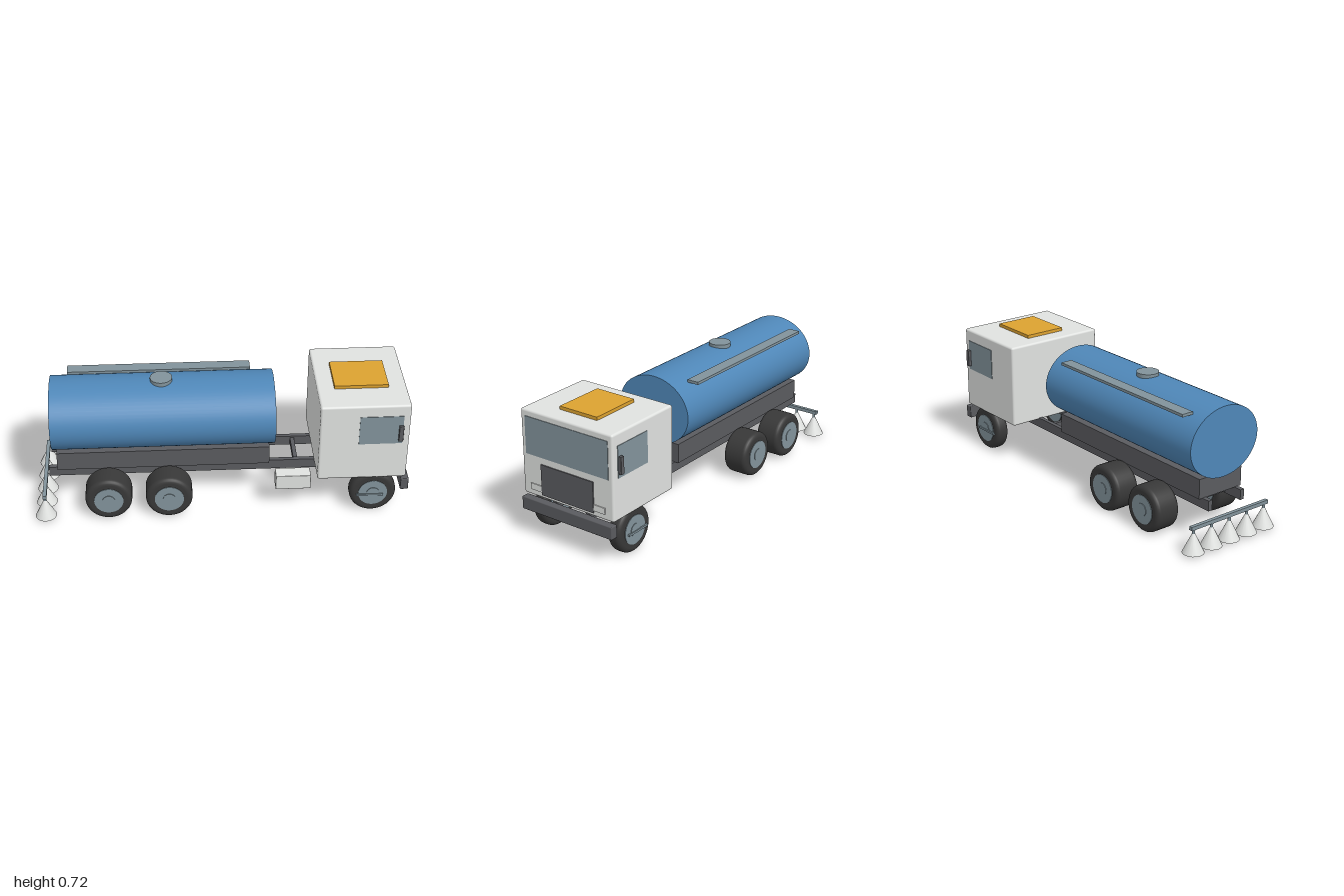
import * as THREE from 'three';
import { RoundedBoxGeometry } from 'three/addons/geometries/RoundedBoxGeometry.js';

const mat = (name, color) => {
  const m = new THREE.MeshStandardMaterial({ color });
  m.name = name;
  return m;
};

export function createModel() {
  const paint = mat('white paint', 0xe0e2e0);
  const blue = mat('tank blue', 0x4f87b8);
  const dark = mat('chassis grey', 0x5a5b5f);
  const rubber = mat('tyre rubber', 0x383838);
  const steel = mat('steel and glass', 0x82939b);
  const amber = mat('amber', 0xdca231);

  const model = new THREE.Group();
  model.name = 'sprinklerTruck';

  const add = (name, geo, material, x = 0, y = 0, z = 0, parent = model) => {
    const mesh = new THREE.Mesh(geo, material);
    mesh.name = name;
    mesh.position.set(x, y, z);
    parent.add(mesh);
    return mesh;
  };
  // Box given by its limits on each axis, with optional rounded edges
  const box = (name, material, [x0, x1], [y0, y1], [z0, z1], r = 0) => {
    const s = [x1 - x0, y1 - y0, z1 - z0];
    const geo = r ? new RoundedBoxGeometry(...s, 3, r) : new THREE.BoxGeometry(...s);
    return add(name, geo, material, (x0 + x1) / 2, (y0 + y1) / 2, (z0 + z1) / 2);
  };
  // Same box on both sides of the truck
  const pair = (name, material, xs, ys, [z0, z1], r) => {
    box(name + 'Left', material, xs, ys, [-z1, -z0], r);
    box(name + 'Right', material, xs, ys, [z0, z1], r);
  };

  // Chassis
  pair('frameRail', dark, [-0.92, 0.96], [0.185, 0.24], [0.095, 0.119]);
  for (const x of [-0.8, -0.44, 0, 0.41, 0.75]) {
    box('crossMember', dark, [x - 0.011, x + 0.011], [0.195, 0.232], [-0.1, 0.1]);
  }
  box('tankCradle', dark, [-0.873, 0.264], [0.238, 0.345], [-0.14, 0.14]);
  box('bumper', dark, [0.957, 1], [0.145, 0.215], [-0.29, 0.29], 0.005);
  box('sideLocker', paint, [0.29, 0.478], [0.15, 0.237], [0.187, 0.262], 0.004);

  // Cab
  box('cab', paint, [0.508, 0.98], [0.23, 0.69], [-0.29, 0.29], 0.012);
  box('windscreen', steel, [0.976, 0.983], [0.453, 0.655], [-0.263, 0.263]);
  box('grille', dark, [0.976, 0.986], [0.25, 0.417], [-0.167, 0.167]);
  pair('headlight', paint, [0.976, 0.985], [0.263, 0.297], [0.16, 0.238]);
  pair('sideWindow', steel, [0.715, 0.943], [0.455, 0.625], [0.286, 0.293]);
  pair('mirror', dark, [0.92, 0.944], [0.478, 0.572], [0.295, 0.313], 0.003);
  box('roofHatch', amber, [0.598, 0.883], [0.688, 0.708], [-0.118, 0.118]);

  // Oval tank lying along x
  const tank = new THREE.CylinderGeometry(1, 1, 1.182, 64);
  tank.rotateZ(Math.PI / 2);
  tank.scale(1, 0.187, 0.222);
  add('tank', tank, blue, -0.302, 0.517, 0);
  add('manhole', new THREE.CylinderGeometry(0.059, 0.059, 0.03, 32), steel, -0.305, 0.705, 0);
  box('walkway', steel, [-0.805, 0.174], [0.665, 0.68], [-0.2, -0.134]);

  // Wheels: rounded tyre profile turned about z, hub disc and cap
  const wheel = (name, x, side, inner, outer) => {
    const h = (outer - inner) / 2, R = 0.125, b = 0.024;
    const pts = [new THREE.Vector2(0.06, -h), new THREE.Vector2(R - b - 0.001, -h)];
    for (const [cy, start] of [[-h + b, -Math.PI / 2], [h - b, 0]]) {
      for (let i = 0; i <= 5; i++) {
        const a = start + (i / 5) * Math.PI / 2;
        pts.push(new THREE.Vector2(R - b + b * Math.cos(a), cy + b * Math.sin(a)));
      }
    }
    pts.push(new THREE.Vector2(R - b - 0.001, h), new THREE.Vector2(0.06, h));
    const group = new THREE.Group();
    group.name = name;
    group.position.set(x, R, side * (inner + outer) / 2);
    model.add(group);
    add('tyre', new THREE.LatheGeometry(pts, 40).rotateX(Math.PI / 2), rubber, 0, 0, 0, group);
    add('hub', new THREE.CylinderGeometry(0.078, 0.078, 2 * h + 0.006, 32).rotateX(Math.PI / 2), steel, 0, 0, 0, group);
    add('hubCap', new THREE.CylinderGeometry(0.034, 0.034, 2 * h + 0.012, 24).rotateX(Math.PI / 2), steel, 0, 0, 0, group);
  };
  for (const side of [-1, 1]) {
    wheel('frontWheel', 0.812, side, 0.206, 0.282);
    for (const x of [-0.603, -0.28]) wheel('rearWheel', x, side, 0.135, 0.278);
  }
  pair('cabStep', steel, [0.722, 0.868], [0.11, 0.121], [0.21, 0.293]);

  // Rear spray bar with five nozzles and water cones
  box('sprayBar', steel, [-0.955, -0.935], [0.132, 0.152], [-0.257, 0.257]);
  for (let i = -2; i <= 2; i++) {
    const z = i * 0.1185;
    add('nozzle', new THREE.CylinderGeometry(0.008, 0.008, 0.03, 12), steel, -0.945, 0.122, z);
    add('sprayCone', new THREE.CylinderGeometry(0.006, 0.057, 0.105, 16), paint, -0.945, 0.0625, z);
  }
  return model;
}
